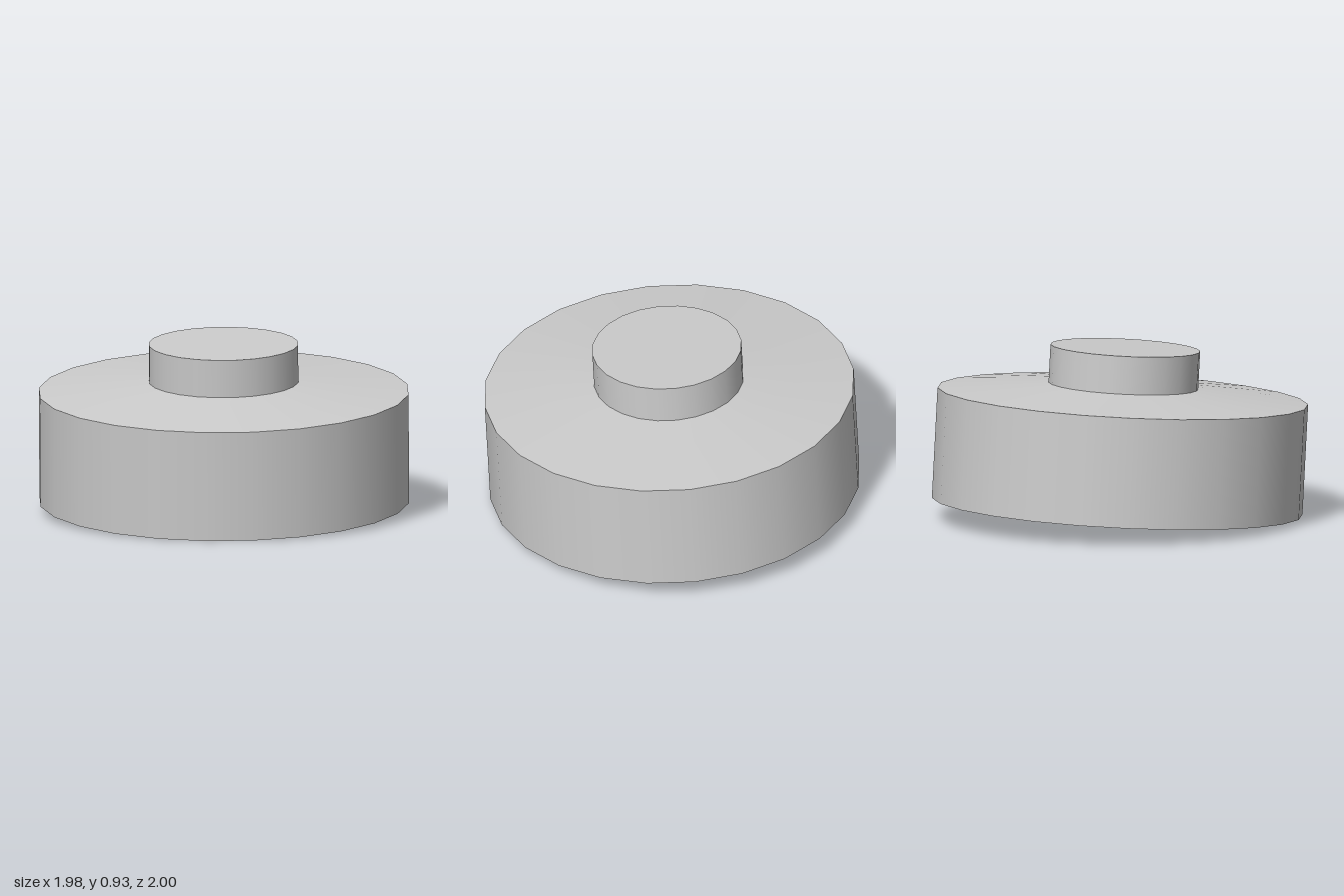
import * as THREE from 'three';

const SIDES = 24;
const RADIUS = 0.988;
const KNOB_RADIUS = 0.399;

export function createModel() {
  const model = new THREE.Group();
  model.name = 'tiltedDisc';
  const material = new THREE.MeshStandardMaterial({ color: 0xcccccc });

  // Adds a round section between two heights along the axis
  const addSection = (name, rTop, rBottom, y0, y1, open) => {
    const geometry = new THREE.CylinderGeometry(rTop, rBottom, y1 - y0, SIDES, 1, open);
    geometry.rotateY(THREE.MathUtils.degToRad(-5.3));
    geometry.translate(0, (y0 + y1) / 2, 0);
    const mesh = new THREE.Mesh(geometry, material);
    mesh.name = name;
    model.add(mesh);
  };

  // Wide drum, shallow sloping shoulder and central knob
  addSection('body', RADIUS, RADIUS, 0, 0.591, false);
  addSection('shoulder', KNOB_RADIUS, RADIUS, 0.591, 0.647, true);
  addSection('knob', KNOB_RADIUS, KNOB_RADIUS, 0.6, 0.85, false);

  // The whole piece leans slightly forward and to its right
  const axis = new THREE.Vector3(-0.02, 1, 0.059).normalize();
  model.quaternion.setFromUnitVectors(new THREE.Vector3(0, 1, 0), axis);
  model.position.set(0.004, 0.062, -0.017);

  const root = new THREE.Group();
  root.add(model);
  return root;
}
